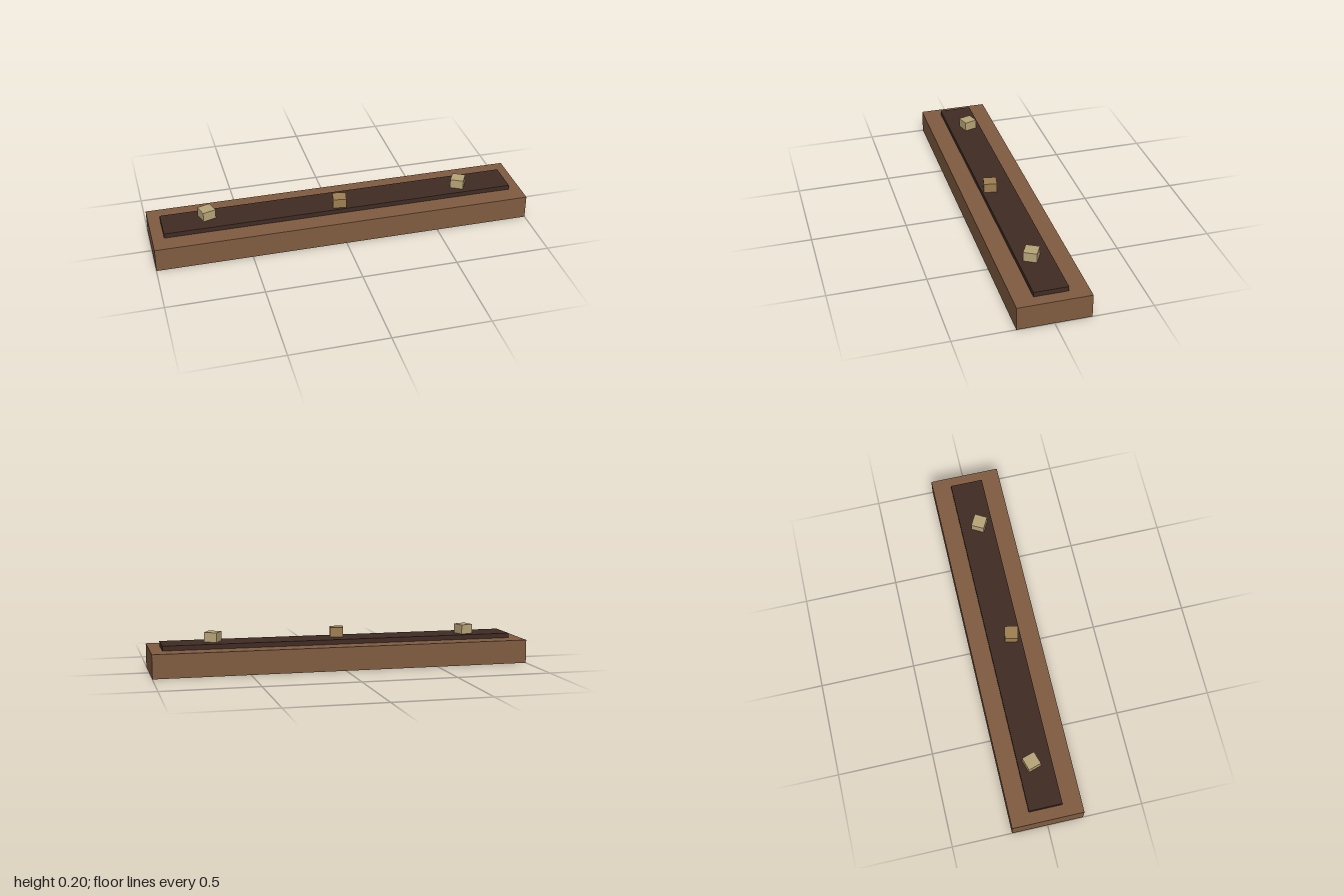
import * as THREE from 'three';

const flat = (name, color, side = THREE.FrontSide) => {
  const m = new THREE.MeshStandardMaterial({ color, side });
  m.name = name;
  return m;
};

export function createModel() {
  const wood = flat('brown wood', 0x805c41, THREE.DoubleSide);
  const soil = flat('dark soil', 0x402c24);
  const sand = flat('pale stone', 0xb8a578);
  const tan = flat('tan stone', 0x9f7f52);

  const group = new THREE.Group();
  group.name = 'trough';
  const add = (name, geometry, material, x, y, z, turn = 0) => {
    const mesh = new THREE.Mesh(geometry, material);
    mesh.name = name;
    mesh.position.set(x, y, z);
    mesh.rotation.y = turn;
    group.add(mesh);
  };

  // Hollow shell: four thin walls and a top, open underneath
  const shell = new THREE.BoxGeometry(2, 0.125, 0.375);
  const index = Array.from(shell.index.array);
  index.splice(18, 6); // drop the bottom face
  shell.setIndex(index);
  shell.clearGroups();
  add('shell', shell, wood, 0, 0.0625, 0);

  // Raised strip along the top
  add('soilStrip', new THREE.BoxGeometry(1.875, 0.025, 0.175), soil, 0, 0.1375, 0);

  // Small blocks scattered on the strip: x, z, turn, material
  const block = new THREE.BoxGeometry(0.07, 0.05, 0.07);
  [
    [-0.7, -0.018, 0.3, sand],
    [-0.002, 0.039, -0.2, tan],
    [0.667, 0.0145, -0.5, sand],
  ].forEach(([x, z, turn, material], i) => add(`stone${i + 1}`, block, material, x, 0.175, z, turn));

  return group;
}
